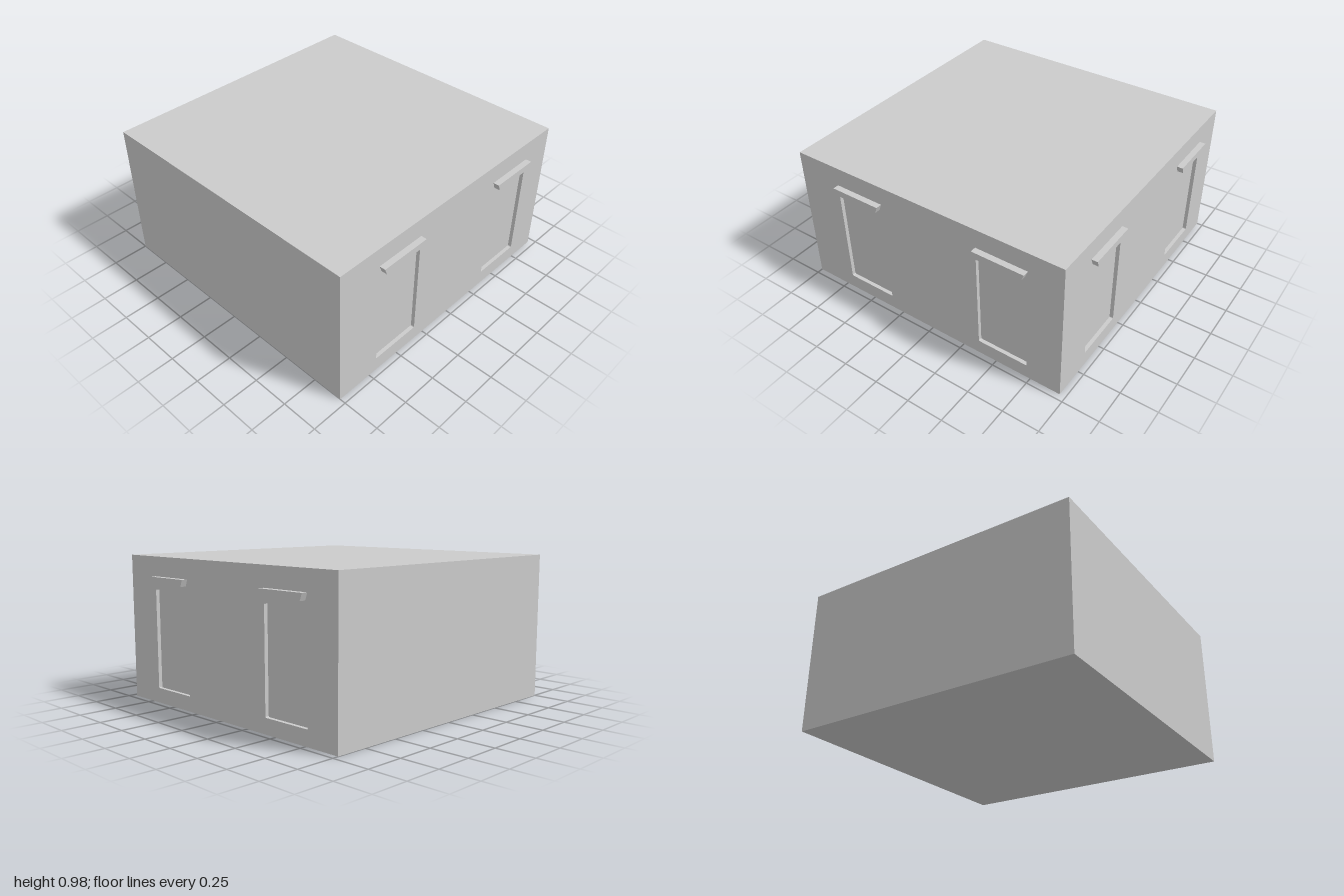
import * as THREE from 'three';

const BACK = -1, FACE = 0.96, HEIGHT = 0.98; // building extents
const RECESS = 0.025;                        // depth of the window niches
const CORE = FACE - RECESS;
const material = new THREE.MeshStandardMaterial({ color: 0xcccccc, flatShading: true });

function addMesh(parent, name, geometry) {
  const mesh = new THREE.Mesh(geometry, material);
  mesh.name = name;
  parent.add(mesh);
  return mesh;
}

// Window opening outline with slightly eased corners
function openingPath(u) {
  const w = 0.177, y0 = 0.1, y1 = 0.765, r = 0.008;
  const p = new THREE.Path();
  p.moveTo(u - w + r, y0);
  p.lineTo(u + w - r, y0);
  p.quadraticCurveTo(u + w, y0, u + w, y0 + r);
  p.lineTo(u + w, y1 - r);
  p.quadraticCurveTo(u + w, y1, u + w - r, y1);
  p.lineTo(u - w + r, y1);
  p.quadraticCurveTo(u - w, y1, u - w, y1 - r);
  p.lineTo(u - w, y0 + r);
  p.quadraticCurveTo(u - w, y0, u - w + r, y0);
  return p;
}

// Facade in its own frame: u across, y up, z outward
function makeFacade(name, u0, u1, windows) {
  const facade = new THREE.Group();
  facade.name = name;

  // Wall layer pierced by the window openings
  const wall = new THREE.Shape([
    new THREE.Vector2(u0, 0), new THREE.Vector2(u1, 0),
    new THREE.Vector2(u1, HEIGHT), new THREE.Vector2(u0, HEIGHT),
  ]);
  wall.holes = windows.map(openingPath);
  addMesh(facade, 'facadeWall', new THREE.ExtrudeGeometry(wall, {
    depth: RECESS, bevelEnabled: false, curveSegments: 3,
  })).position.z = CORE;

  // Tapered lintel above each window
  for (const u of windows) {
    const lintel = new THREE.Shape([
      new THREE.Vector2(-0.161, 0.805), new THREE.Vector2(0.161, 0.805),
      new THREE.Vector2(0.178, 0.85), new THREE.Vector2(-0.178, 0.85),
    ]);
    addMesh(facade, 'windowLintel', new THREE.ExtrudeGeometry(lintel, {
      depth: 1 - FACE, bevelEnabled: false,
    })).position.set(u, 0, FACE);
  }
  return facade;
}

export function createModel() {
  const model = new THREE.Group();
  model.name = 'building';

  // Solid core, whose faces form the blind window panels
  const size = CORE - BACK, mid = (CORE + BACK) / 2;
  addMesh(model, 'buildingCore', new THREE.BoxGeometry(size, HEIGHT, size))
    .position.set(mid, HEIGHT / 2, mid);

  // Front facade, and side facade turned to face +x
  model.add(makeFacade('frontFacade', BACK, FACE, [-0.512, 0.548]));
  const side = makeFacade('sideFacade', -CORE, -BACK, [-0.502, 0.592]);
  side.rotation.y = Math.PI / 2;
  model.add(side);

  return model;
}
